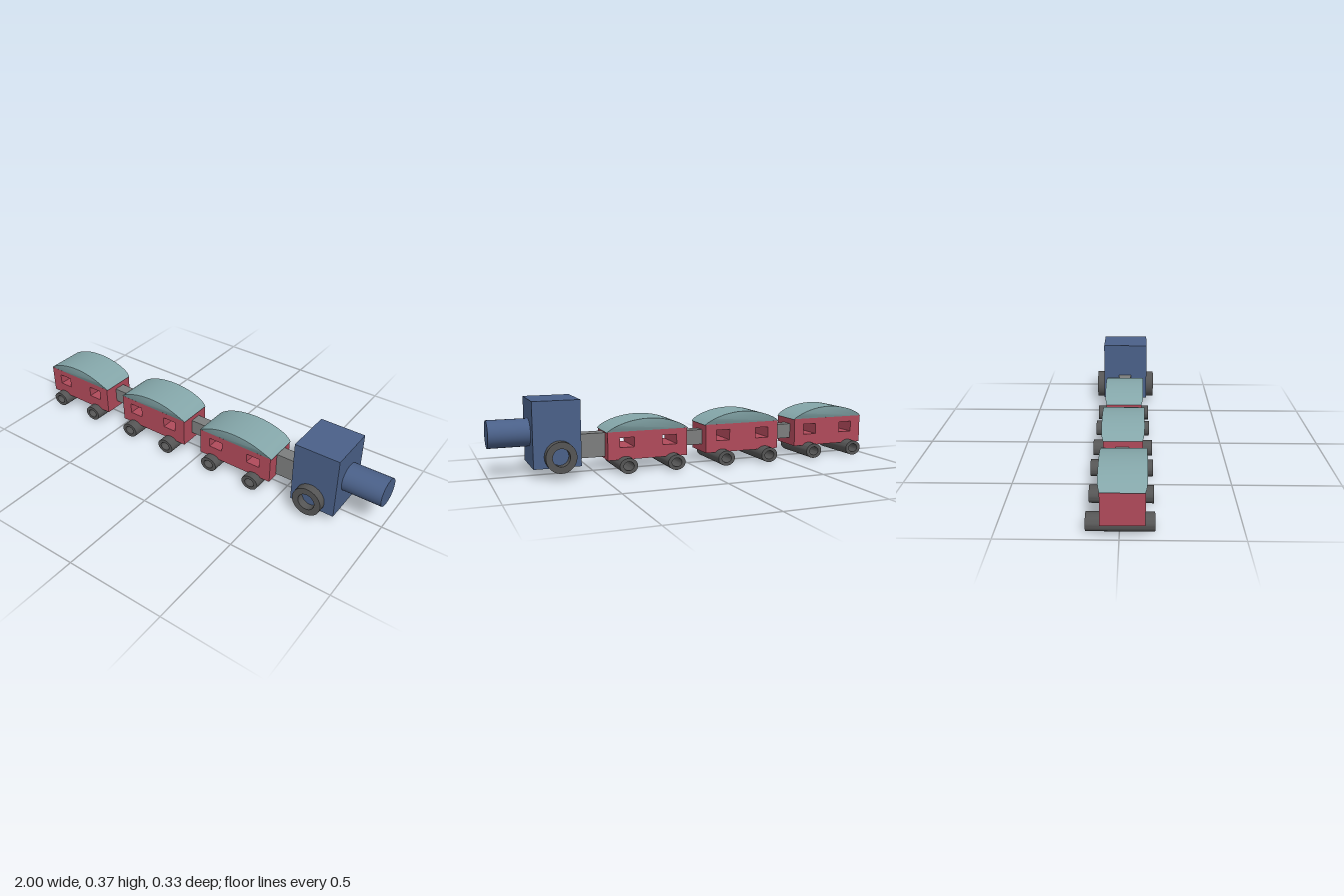
import * as THREE from 'three';
import { toCreasedNormals } from 'three/addons/utils/BufferGeometryUtils.js';

const paint = (color) => new THREE.MeshStandardMaterial({ color });
const red = paint(0xb04a5a);
const teal = paint(0x84a6a9);
const blue = paint(0x4a6088);
const dark = paint(0x555555);
const grey = paint(0x7c7e7e);

function add(parent, name, geometry, material) {
  const mesh = new THREE.Mesh(geometry, material);
  mesh.name = name;
  parent.add(mesh);
  return mesh;
}

// Box given by its limits on each axis
function box(parent, name, [x0, x1], [y0, y1], [z0, z1], material) {
  const mesh = add(parent, name, new THREE.BoxGeometry(x1 - x0, y1 - y0, z1 - z0), material);
  mesh.position.set((x0 + x1) / 2, (y0 + y1) / 2, (z0 + z1) / 2);
  return mesh;
}

// Shape in the xy plane, extruded along z about a middle
function extrudeZ(shape, depth, z, curveSegments = 24, steps = 1) {
  const g = new THREE.ExtrudeGeometry(shape, { depth, bevelEnabled: false, curveSegments, steps });
  return g.translate(0, 0, z - depth / 2);
}

// Hollow roller running the full width, seen as a pair of ring wheels
function rollerWheel(parent, name, x, y, z, length, rx, ry, wall) {
  const ring = new THREE.Shape().absellipse(x, y, rx, ry, 0, Math.PI * 2, false);
  ring.holes.push(new THREE.Path().absellipse(x, y, rx * wall, ry * wall, 0, Math.PI * 2, true));
  add(parent, name, toCreasedNormals(extrudeZ(ring, length, z, 16), 0.6), dark);
}

function rectangle(path, x0, x1, y0, y1) {
  path.moveTo(x0, y0);
  path.lineTo(x1, y0);
  path.lineTo(x1, y1);
  path.lineTo(x0, y1);
  path.closePath();
  return path;
}

// Low arched roof whose ends narrow slightly
function roofGeometry(x, y, z, half, height, depth) {
  const shape = new THREE.Shape();
  const n = 24;
  shape.moveTo(-half, 0);
  shape.lineTo(half, 0);
  for (let i = 1; i < n; i++) {
    const u = 1 - (2 * i) / n;
    shape.lineTo(u * half, height * Math.pow(1 - u * u, 0.8));
  }
  shape.closePath();
  const g = extrudeZ(shape, depth, 0);
  const p = g.attributes.position;
  for (let i = 0; i < p.count; i++) {
    const u = Math.abs(p.getX(i)) / half;
    p.setZ(i, p.getZ(i) * (1 - 0.1 * Math.pow(u, 10)));
  }
  return toCreasedNormals(g.translate(x, y, z), 0.6);
}

function carriage({ name, x, z, top, peak, windows, wheels, wheelZ, wheelLength }) {
  const car = new THREE.Group();
  car.name = name;
  // Body with two window openings running right through
  const side = rectangle(new THREE.Shape(), x - 0.205, x + 0.205, 0.06, top);
  for (const w of windows) {
    side.holes.push(rectangle(new THREE.Path(), w - 0.037, w + 0.037, 0.12, top - 0.03));
  }
  add(car, 'carriageBody', extrudeZ(side, 0.18, z), red);
  add(car, 'carriageRoof', roofGeometry(x, top - 0.002, z, 0.21, peak - top, 0.198), teal);
  for (const w of wheels) {
    rollerWheel(car, 'carriageWheels', w, 0.038, wheelZ, wheelLength, 0.045, 0.038, 0.58);
  }
  return car;
}

export function createModel() {
  const train = new THREE.Group();
  train.name = 'train';

  // Carriages, rear to front
  const carriages = [
    { name: 'rearCarriage', x: -0.79, z: 0.013, top: 0.205, peak: 0.268,
      windows: [-0.9, -0.677], wheels: [-0.917, -0.672], wheelZ: 0.003, wheelLength: 0.278 },
    { name: 'middleCarriage', x: -0.272, z: 0.005, top: 0.205, peak: 0.268,
      windows: [-0.385, -0.163], wheels: [-0.4, -0.157], wheelZ: -0.001, wheelLength: 0.288 },
    { name: 'frontCarriage', x: 0.241, z: 0.002, top: 0.198, peak: 0.26,
      windows: [0.129, 0.349], wheels: [0.112, 0.358], wheelZ: -0.006, wheelLength: 0.276 },
  ];
  for (const c of carriages) train.add(carriage(c));

  // Couplings
  box(train, 'rearCoupling', [-0.59, -0.472], [0.098, 0.174], [-0.027, 0.032], grey);
  box(train, 'middleCoupling', [-0.072, 0.04], [0.098, 0.174], [-0.032, 0.027], grey);
  box(train, 'frontCoupling', [0.44, 0.59], [0.072, 0.19], [-0.037, 0.032], grey);

  // Engine: cab, boiler and large wheels
  const engine = new THREE.Group();
  engine.name = 'engine';
  box(engine, 'cab', [0.583, 0.808], [0.052, 0.367], [-0.123, 0.123], blue);
  const boiler = add(engine, 'boiler', new THREE.CylinderGeometry(1, 1, 0.2, 32), blue);
  boiler.rotation.z = -Math.PI / 2;
  boiler.scale.set(0.066, 1, 0.074);
  boiler.position.set(0.9, 0.209, 0);
  rollerWheel(engine, 'engineWheels', 0.685, 0.106, 0, 0.326, 0.073, 0.074, 0.57);
  train.add(engine);

  return train;
}
